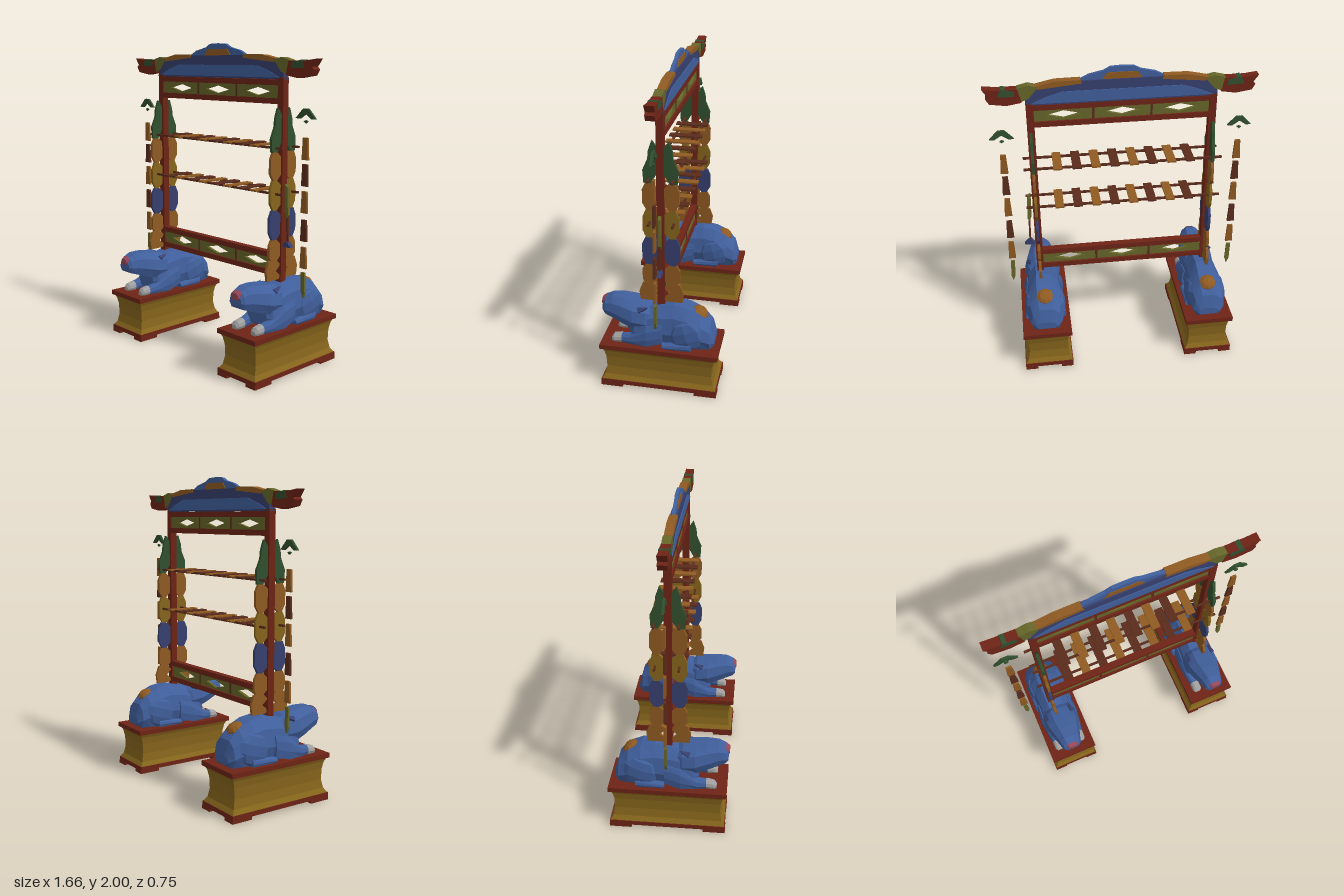
import * as THREE from 'three';

const RED = 0x6e2416, GOLD = 0x86651c, BLUE = 0x405f9c, NAVY = 0x37406f, GREEN = 0x31502f,
  OLIVE = 0x66662a, ORANGE = 0x8f5a22, BROWN = 0x5a2c1c, GREY = 0xa0a0a0, PINK = 0x94485a;

function mesh(name, geo, color, x = 0, y = 0, z = 0) {
  const mat = new THREE.MeshStandardMaterial({ color, flatShading: true });
  const m = new THREE.Mesh(geo, mat);
  m.name = name;
  m.position.set(x, y, z);
  return m;
}
const box = (name, color, w, h, d, x, y, z) => mesh(name, new THREE.BoxGeometry(w, h, d), color, x, y, z);

// Flat cut-out of given thickness, centred on z = 0
function plateGeo(points, depth, holes = []) {
  const v = p => p.map(([x, y]) => new THREE.Vector2(x, y));
  const shape = new THREE.Shape(v(points));
  holes.forEach(h => shape.holes.push(new THREE.Path(v(h))));
  return new THREE.ExtrudeGeometry(shape, { depth, bevelEnabled: false }).translate(0, 0, -depth / 2);
}
const plate = (name, color, points, depth, holes) => mesh(name, plateGeo(points, depth, holes), color);
const flip = (pts, s) => pts.map(([x, y]) => [x * s, y]);

// Skin over rings running along +z, each ring counter-clockwise seen from +z, with end caps
function loft(rings) {
  const n = rings[0].length, pos = rings.flat(2), idx = [];
  for (let i = 0; i < rings.length - 1; i++)
    for (let j = 0; j < n; j++) {
      const a = i * n + j, b = i * n + (j + 1) % n;
      idx.push(a, b, b + n, a, b + n, a + n);
    }
  const e = (rings.length - 1) * n;
  for (let j = 1; j < n - 1; j++) idx.push(0, j + 1, j, e, e + j, e + j + 1);
  const g = new THREE.BufferGeometry();
  g.setAttribute('position', new THREE.Float32BufferAttribute(pos, 3));
  g.setIndex(idx);
  return g.toNonIndexed();
}

// Eight-sided section: z, half width, bottom, top, x offset
const SECTION = [[1, .35], [.85, .75], [.42, 1], [-.42, 1], [-.85, .75], [-1, .35], [-.75, 0], [.75, 0]];
const ring = ([z, w, b, t, x = 0]) => SECTION.map(([u, v]) => [x + u * w, b + v * (t - b), z]);

function makeStand() {
  const g = new THREE.Group();
  g.name = 'stand';
  // concave waist
  const profile = [[.045, .157, .362], [.075, .137, .343], [.13, .128, .332], [.2, .13, .335], [.245, .138, .345], [.272, .15, .358]];
  const rings = profile.map(([y, w, d]) => [[w, -d, y], [w, d, y], [-w, d, y], [-w, -d, y]]);
  g.add(mesh('standWaist', loft(rings).rotateX(-Math.PI / 2), GOLD));
  g.add(box('standTop', RED, .32, .03, .74, 0, .285, 0));
  g.add(box('standSkirt', RED, .32, .028, .73, 0, .033, 0));
  for (const x of [-1, 1]) for (const z of [-1, 1])
    g.add(box('standFoot', RED, .08, .02, .14, x * .12, .01, z * .297));
  return g;
}

function makeBeast() {
  const g = new THREE.Group();
  g.name = 'beast';
  const body = [[-.335, .07, .32, .37], [-.31, .105, .3, .46], [-.25, .12, .3, .525], [-.17, .125, .3, .56],
    [-.08, .115, .3, .575], [.02, .115, .3, .56], [.1, .12, .3, .54], [.16, .11, .31, .5], [.19, .08, .33, .46]];
  g.add(mesh('beastBody', loft(body.map(ring)), BLUE));
  const head = [[.03, .08, .4, .53], [.09, .115, .39, .565], [.17, .12, .4, .575], [.24, .1, .42, .585],
    [.31, .078, .445, .585], [.355, .066, .46, .565], [.372, .05, .475, .54]];
  g.add(mesh('beastHead', loft(head.map(ring)), BLUE));
  g.add(mesh('beastNose', loft([[.355, .04, .53, .572], [.379, .03, .515, .555]].map(ring)), PINK));
  g.add(mesh('beastRump', new THREE.SphereGeometry(1, 8, 5).scale(.06, .03, .055).rotateX(-.55), ORANGE, 0, .515, -.24));
  for (const s of [-1, 1]) {
    // haunch, hind foot, foreleg, paw and ear on each side
    const haunch = new THREE.SphereGeometry(1, 8, 5).scale(.035, .1, .115).rotateX(.3);
    g.add(mesh('beastHaunch', haunch, BLUE, s * .1, .395, -.17));
    g.add(mesh('beastHindFoot', loft([[-.2, .025, .3, .35, s * .11], [-.02, .025, .3, .33, s * .11]].map(ring)), BLUE));
    const leg = [[-.02, .025, .33, .46, s * .1], [.08, .035, .3, .44, s * .1], [.18, .032, .3, .365, s * .09], [.25, .03, .3, .35, s * .08]];
    g.add(mesh('beastForeleg', loft(leg.map(ring)), BLUE));
    g.add(mesh('beastPaw', loft([[.24, .033, .3, .355, s * .08], [.29, .032, .3, .345, s * .08], [.305, .02, .3, .325, s * .08]].map(ring)), GREY));
    g.add(mesh('beastEar', new THREE.ConeGeometry(.025, .07, 4).rotateX(-1.1), NAVY, s * .085, .545, .1));
  }
  return g;
}

// Pierced panel between two rails
function makeBeam(y, name) {
  const g = new THREE.Group();
  g.name = name;
  const holes = [-.355, 0, .355].map(c => [[c - .105, 0], [c, .026], [c + .105, 0], [c, -.026]]);
  g.add(plate('piercedPanel', OLIVE, [[-.54, -.05], [.54, -.05], [.54, .05], [-.54, .05]], .02, holes));
  for (const s of [-1, 1]) {
    g.add(box('rail', RED, 1.09, .034, .045, 0, s * .055, 0));
    g.add(box('divider', BROWN, .014, .085, .03, s * .178, 0, 0));
  }
  g.position.y = y;
  return g;
}

// Scalloped carving along the front and back of a post
function makeWings() {
  const g = new THREE.Group();
  g.name = 'postCarvings';
  const bands = [[1.38, 1.62, .105, GREEN], [1.19, 1.36, .11, ORANGE], [1.01, 1.19, .11, GOLD],
    [.83, 1.01, .115, NAVY], [.69, .83, .115, ORANGE]];
  for (const s of [-1, 1]) {
    bands.forEach(([a, b, w, color], i) => {
      const h = b - a;
      const pts = i === 0
        ? [[.015, a + .05], [.055, a - .02], [w - .005, a - .02], [w, a + .06], [.075, a + .13], [.07, a + .18], [.05, b], [.015, b - .05]]
        : [[.015, a + .04], [.055, a], [w - .025, a], [w, a + h * .25], [w, b - h * .25], [w - .02, b], [.055, b], [.015, b - .035]];
      g.add(mesh('carvedBand', plateGeo(flip(pts, s), .018).rotateY(-Math.PI / 2), color));
    });
    const foot = [[.015, .67], [.055, .635], [.015, .6], [.03, .58], [.13, .58], [.138, .64], [.115, .7], [.06, .71]];
    g.add(mesh('carvedFoot', plateGeo(flip(foot, s), .018).rotateY(-Math.PI / 2), ORANGE));
  }
  return g;
}

// Hanging string of flat tassels
function makePendant() {
  const g = new THREE.Group();
  g.name = 'pendant';
  g.add(plate('pendantHook', GREEN, [[-.075, 1.565], [-.045, 1.562], [0, 1.592], [.045, 1.562], [.075, 1.565], [.02, 1.622], [-.02, 1.622]], .014));
  g.add(plate('pendantBead', GREEN, [[-.014, 1.55], [0, 1.538], [.014, 1.55], [0, 1.556]], .012));
  [1.455, 1.3, 1.14, .97, .805].forEach((t, i) =>
    g.add(plate('tassel', i % 2 ? BROWN : ORANGE, [[-.017, t], [.017, t], [.024, t - .13], [-.024, t - .13]], .014)));
  g.add(plate('tasselEnd', OLIVE, [[-.013, .65], [.013, .65], [.018, .53], [.006, .49], [-.01, .53]], .014));
  return g;
}

// Horizontal rack of slats on two rods
function makeRack(y) {
  const g = new THREE.Group();
  g.name = 'slatRack';
  for (const z of [-.078, .066]) g.add(box('rackRod', BROWN, 1.24, .013, .013, 0, 0, z));
  for (let i = 0; i < 8; i++)
    g.add(box('slat', i % 2 ? ORANGE : BROWN, .055, .01, .215, -.415 + i * .118, .006, -.006));
  g.position.y = y;
  return g;
}

function makeRoof() {
  const g = new THREE.Group();
  g.name = 'roofBeam';
  const base = [[-.58, 1.785], [.58, 1.785], [.575, 1.84], [.5, 1.895], [.4, 1.925], [-.4, 1.925], [-.5, 1.895], [-.575, 1.84]];
  g.add(plate('roofBoard', NAVY, base, .044));
  g.add(plate('roofInlay', BLUE, [[-.55, 1.795], [.55, 1.795], [.46, 1.835], [.36, 1.865], [-.36, 1.865], [-.46, 1.835]], .054));
  g.add(plate('crest', BLUE, [[-.27, 1.92], [.27, 1.92], [.2, 1.955], [.11, 1.975], [.07, 1.997], [0, 2], [-.07, 1.997], [-.11, 1.975], [-.2, 1.955]], .022));
  g.add(plate('crestBoss', ORANGE, [[-.12, 1.925], [.12, 1.925], [.09, 1.965], [-.09, 1.965]], .03));
  for (const s of [-1, 1]) {
    g.add(plate('crestFlank', ORANGE, flip([[.24, 1.91], [.5, 1.885], [.52, 1.905], [.4, 1.93], [.25, 1.932]], s), .05));
    // carved head at each end of the roof
    g.add(plate('endNeck', OLIVE, flip([[.5, 1.9], [.56, 1.83], [.63, 1.805], [.67, 1.86], [.62, 1.9], [.56, 1.915]], s), .052));
    g.add(plate('endHead', RED, flip([[.6, 1.81], [.69, 1.795], [.79, 1.81], [.81, 1.845], [.795, 1.86], [.828, 1.905], [.75, 1.895], [.62, 1.895]], s), .056));
    g.add(plate('endBrow', GREEN, flip([[.64, 1.85], [.74, 1.855], [.72, 1.9], [.64, 1.885]], s), .06));
  }
  return g;
}

export function createModel() {
  const model = new THREE.Group();
  model.name = 'carvedRackOnBeasts';
  for (const s of [-1, 1]) {
    const stand = makeStand(), beast = makeBeast(), wings = makeWings(), pendant = makePendant();
    stand.position.x = beast.position.x = s * .543;
    wings.position.x = s * .56;
    pendant.position.x = s * .738;
    model.add(stand, beast, wings, pendant);
    model.add(box('post', RED, .045, 1.25, .045, s * .557, 1.17, 0));
  }
  model.add(makeBeam(.66, 'lowerBeam'), makeBeam(1.712, 'upperBeam'), makeRoof(), makeRack(1.385), makeRack(1.11));

  // mallet hanging on the left post
  const mallet = new THREE.Group();
  mallet.name = 'mallet';
  mallet.add(plate('malletGrip', OLIVE, [[.588, 1.165], [.612, 1.15], [.618, .98], [.606, .96], [.592, 1.0]], .02));
  mallet.add(plate('malletRod', BROWN, [[.601, .98], [.613, .98], [.618, .8], [.606, .8]], .012));
  mallet.add(plate('malletHead', NAVY, [[.583, .79], [.605, .82], [.625, .81], [.647, .785], [.59, .78]], .03));
  model.add(mallet);
  return model;
}
